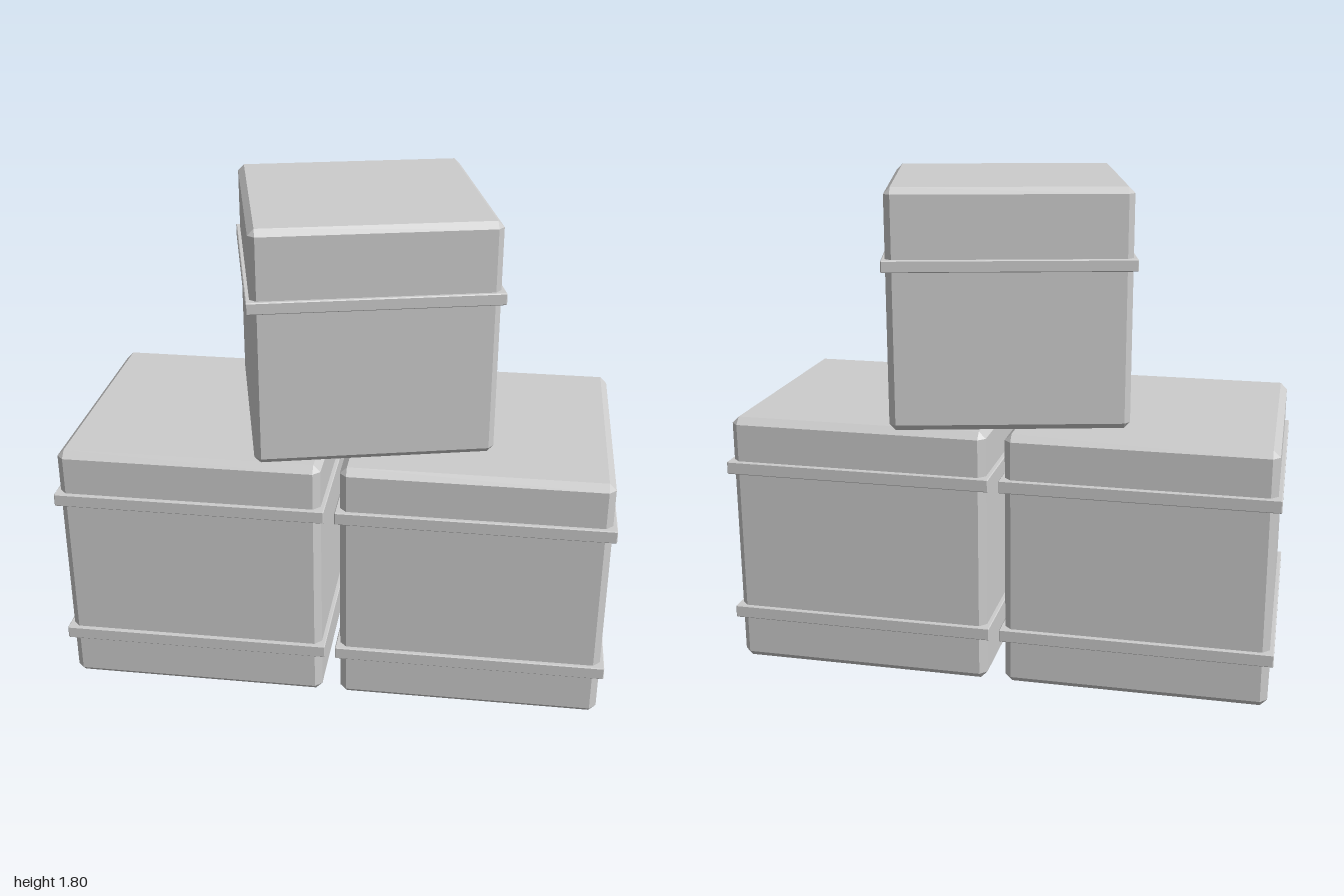
import * as THREE from 'three';
import { ConvexGeometry } from 'three/addons/geometries/ConvexGeometry.js';

// Box with every edge and corner cut flat by c
function chamferBox(w, h, d, c) {
  const pts = [];
  for (const sx of [-1, 1]) for (const sy of [-1, 1]) for (const sz of [-1, 1]) {
    const x = w / 2, y = h / 2, z = d / 2;
    pts.push(
      new THREE.Vector3(sx * x, sy * (y - c), sz * (z - c)),
      new THREE.Vector3(sx * (x - c), sy * y, sz * (z - c)),
      new THREE.Vector3(sx * (x - c), sy * (y - c), sz * z)
    );
  }
  return new ConvexGeometry(pts);
}

export function createModel() {
  const model = new THREE.Group();
  model.name = 'crateStack';
  const grey = new THREE.MeshStandardMaterial({ color: 0xcccccc, flatShading: true });
  grey.name = 'lightGrey';

  // A cube crate with raised straps at the given heights above its base
  function crate(name, size, bandSize, bandHeights) {
    const g = new THREE.Group();
    g.name = name;
    const body = new THREE.Mesh(chamferBox(size, size, size, 0.025 * size / 0.95), grey);
    body.name = 'crateBody';
    body.position.y = size / 2;
    g.add(body);
    for (const y of bandHeights) {
      const band = new THREE.Mesh(chamferBox(bandSize, 0.047 * size / 0.95, bandSize, 0.003), grey);
      band.name = 'strap';
      band.position.y = y;
      g.add(band);
    }
    model.add(g);
    return g;
  }

  // Two crates side by side
  crate('rightCrate', 0.95, 0.98, [0.193, 0.763]).position.set(-0.51, 0, 0.02);
  crate('leftCrate', 0.95, 0.98, [0.193, 0.763]).position.set(0.508, 0, 0.02);

  // Smaller crate turned on top
  const top = crate('topCrate', 0.845, 0.873, [0.583]);
  top.position.set(0.05, 0.955, -0.003);
  top.rotation.y = 0.242;

  return model;
}
